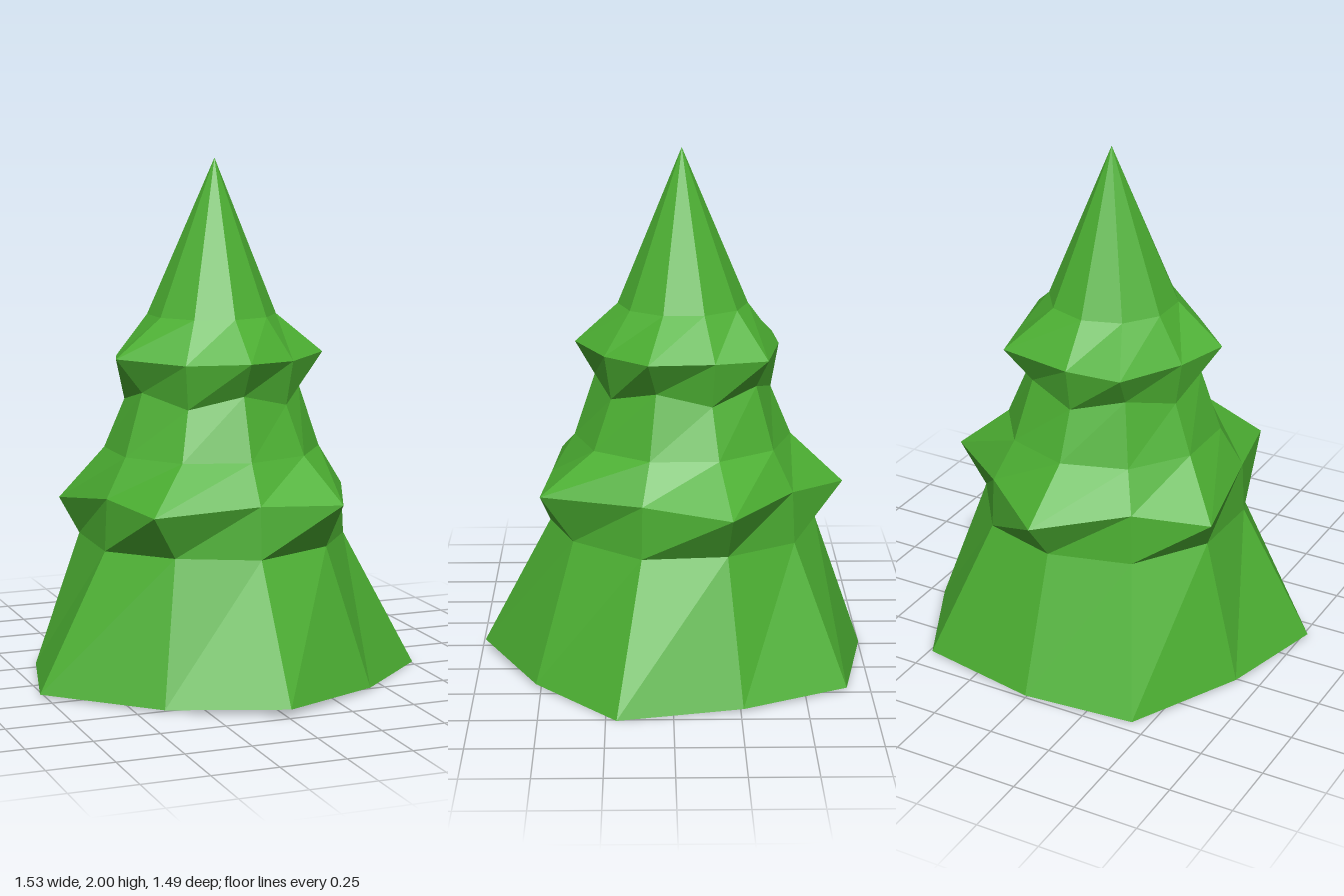
import * as THREE from 'three';

const SIDES = 10;
const AXIS_Z = -.045; // the trunk line sits slightly behind the middle

// Regular ten-sided ring; heights alternate between even and odd corners
function ring(radius, evenY, oddY = evenY) {
  return Array.from({ length: SIDES }, (_, i) => {
    const a = (i / SIDES) * Math.PI * 2;
    return new THREE.Vector3(Math.sin(a) * radius, i % 2 ? oddY : evenY, AXIS_Z + Math.cos(a) * radius);
  });
}

// Star ring: every second corner is pulled out to a branch tip [x, y, z]
function star(radius, y, first, tips) {
  const pts = ring(radius, y);
  tips.forEach((t, k) => pts[first + k * 2].set(...t));
  return pts;
}

// Faceted skin between consecutive rings; a single point closes an end
function loft(rings) {
  const pos = [];
  const tri = (...pts) => pts.forEach((p) => pos.push(p.x, p.y, p.z));
  for (let r = 0; r < rings.length - 1; r++) {
    const lo = rings[r], hi = rings[r + 1];
    for (let i = 0; i < SIDES; i++) {
      const j = (i + 1) % SIDES;
      if (lo.length === 1) tri(lo[0], hi[j], hi[i]);
      else if (hi.length === 1) tri(lo[i], lo[j], hi[0]);
      else {
        tri(lo[i], lo[j], hi[j]);
        tri(lo[i], hi[j], hi[i]);
      }
    }
  }
  const geo = new THREE.BufferGeometry();
  geo.setAttribute('position', new THREE.Float32BufferAttribute(pos, 3));
  geo.computeVertexNormals();
  return geo;
}

export function createModel() {
  const tree = new THREE.Group();
  tree.name = 'tree';
  const green = new THREE.MeshStandardMaterial({ color: 0x4caf32, flatShading: true });

  // Uneven hem resting on the ground
  const hem = [
    [.01, .03, .74], [.43, .01, .52], [.76, 0, .21], [.68, .01, -.26], [.48, .01, -.66],
    [0, .01, -.75], [-.44, .01, -.71], [-.66, .01, -.27], [-.77, .01, .16], [-.40, .01, .52],
  ].map((p) => new THREE.Vector3(...p));

  // Pinched necks and shoulders, with jagged rims between them
  const lowerNeck = ring(.52, .53, .54);
  const middleRim = star(.51, .73, 1, [
    [.32, .72, .50], [.60, .71, -.22], [.02, .69, -.67], [-.55, .67, -.29], [-.41, .71, .44],
  ]);
  const middleShoulder = ring(.42, .88);
  const upperNeck = ring(.34, 1.12, 1.07);
  const upperRim = star(.37, 1.24, 0, [
    [0, 1.25, .37], [.41, 1.25, .09], [.30, 1.24, -.36], [-.22, 1.24, -.40], [-.42, 1.25, .04],
  ]);
  const upperShoulder = ring(.25, 1.4);
  const ground = [new THREE.Vector3(0, .01, 0)];
  const tip = [new THREE.Vector3(.01, 2, -.04)];

  // Three stacked tiers of foliage
  const tiers = {
    lowerTier: [ground, hem, lowerNeck],
    middleTier: [lowerNeck, middleRim, middleShoulder, upperNeck],
    upperTier: [upperNeck, upperRim, upperShoulder, tip],
  };
  for (const [name, rings] of Object.entries(tiers)) {
    const mesh = new THREE.Mesh(loft(rings), green);
    mesh.name = name;
    tree.add(mesh);
  }
  return tree;
}
